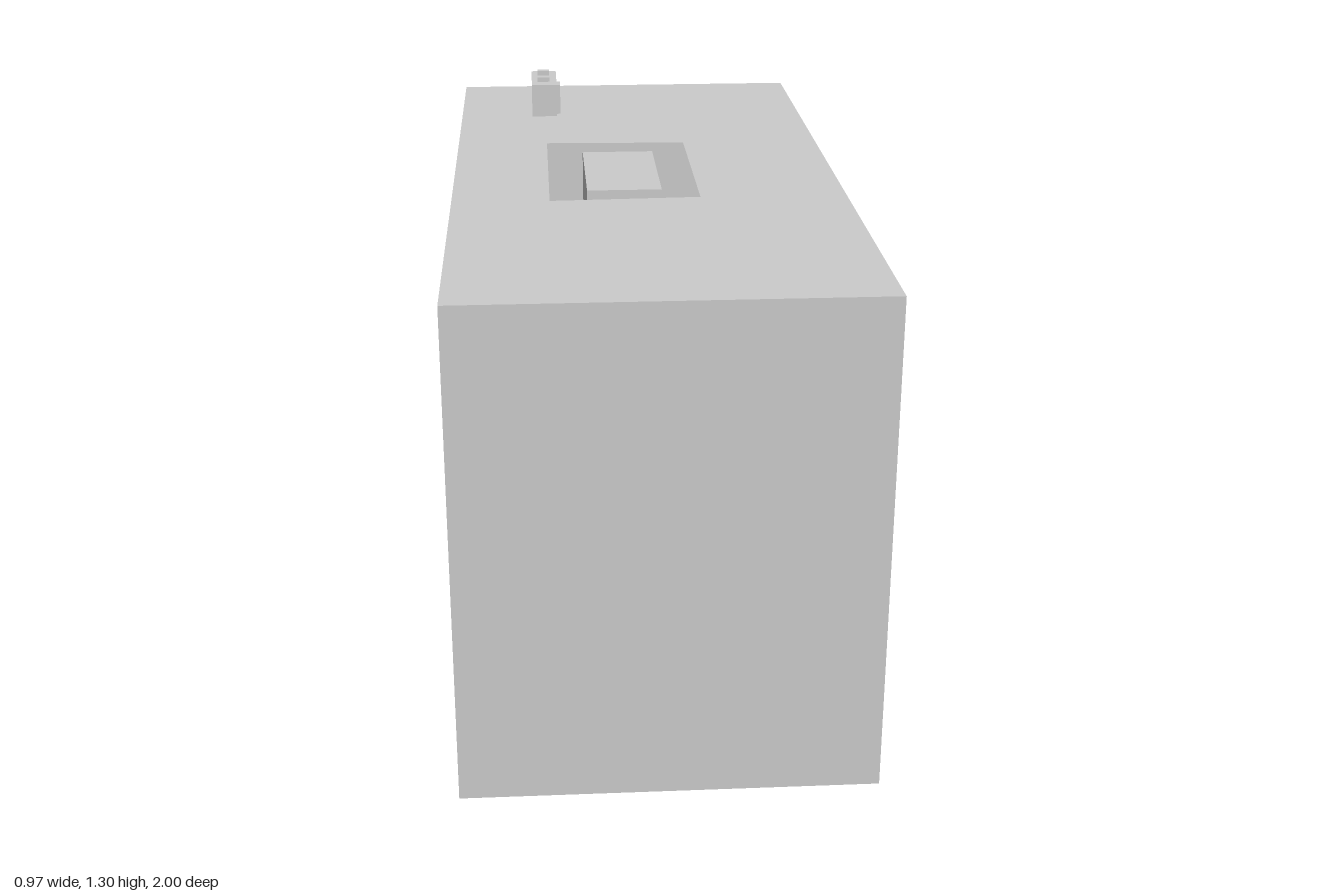
import * as THREE from 'three';

const W = 0.485, H = 1.197, D = 1;
const material = new THREE.MeshStandardMaterial({ color: 0xcccccc, flatShading: true, side: THREE.DoubleSide });

function add(parent, name, geometry) {
  const mesh = new THREE.Mesh(geometry, material);
  mesh.name = name;
  parent.add(mesh);
  return mesh;
}

// Box given by its extents on each axis
function addBlock(parent, name, [x0, x1], [y0, y1], [z0, z1]) {
  const mesh = add(parent, name, new THREE.BoxGeometry(x1 - x0, y1 - y0, z1 - z0));
  mesh.position.set((x0 + x1) / 2, (y0 + y1) / 2, (z0 + z1) / 2);
}

export function createModel() {
  const model = new THREE.Group();
  model.name = 'cabinet';

  // Thin shell, left open on the -x side
  const shell = new THREE.Group();
  shell.name = 'shell';
  model.add(shell);

  const floor = add(shell, 'floor', new THREE.PlaneGeometry(2 * W, 2 * D));
  floor.rotation.x = Math.PI / 2;

  for (const [name, side] of [['frontWall', 1], ['backWall', -1]]) {
    const wall = add(shell, name, new THREE.PlaneGeometry(2 * W, H));
    wall.position.set(0, H / 2, side * D);
    if (side < 0) wall.rotation.y = Math.PI;
  }

  const sideWall = add(shell, 'sideWall', new THREE.PlaneGeometry(2 * D, H));
  sideWall.position.set(W, H / 2, 0);
  sideWall.rotation.y = Math.PI / 2;

  // Top sheet with a slightly tapered opening (shape y becomes -z)
  const points = (list) => list.map(([x, z]) => new THREE.Vector2(x, -z));
  const sheet = new THREE.Shape(points([[-W, D], [W, D], [W, -D], [-W, -D]]));
  sheet.holes.push(new THREE.Path(points([[-0.246, 0.254], [-0.246, -0.302], [0.124, -0.288], [0.124, 0.241]])));
  const top = add(shell, 'top', new THREE.ShapeGeometry(sheet));
  top.rotation.x = -Math.PI / 2;
  top.position.y = H;

  // Column hanging in the opening, flush with the top
  addBlock(model, 'column', [-0.152, 0.034], [0.035, H], [-0.201, 0.169]);

  // Small control box on the top
  const control = new THREE.Group();
  control.name = 'controlBox';
  model.add(control);
  addBlock(control, 'controlBody', [-0.284, -0.213], [H, 1.288], [-0.795, -0.61]);
  addBlock(control, 'sidePanel', [-0.213, -0.203], [H, 1.281], [-0.682, -0.638]);
  addBlock(control, 'sideKnob', [-0.213, -0.207], [1.25, 1.265], [-0.712, -0.682]);
  for (const z of [-0.747, -0.662]) {
    addBlock(control, 'button', [-0.267, -0.233], [1.288, 1.301], [z - 0.01, z + 0.01]);
  }

  return model;
}
